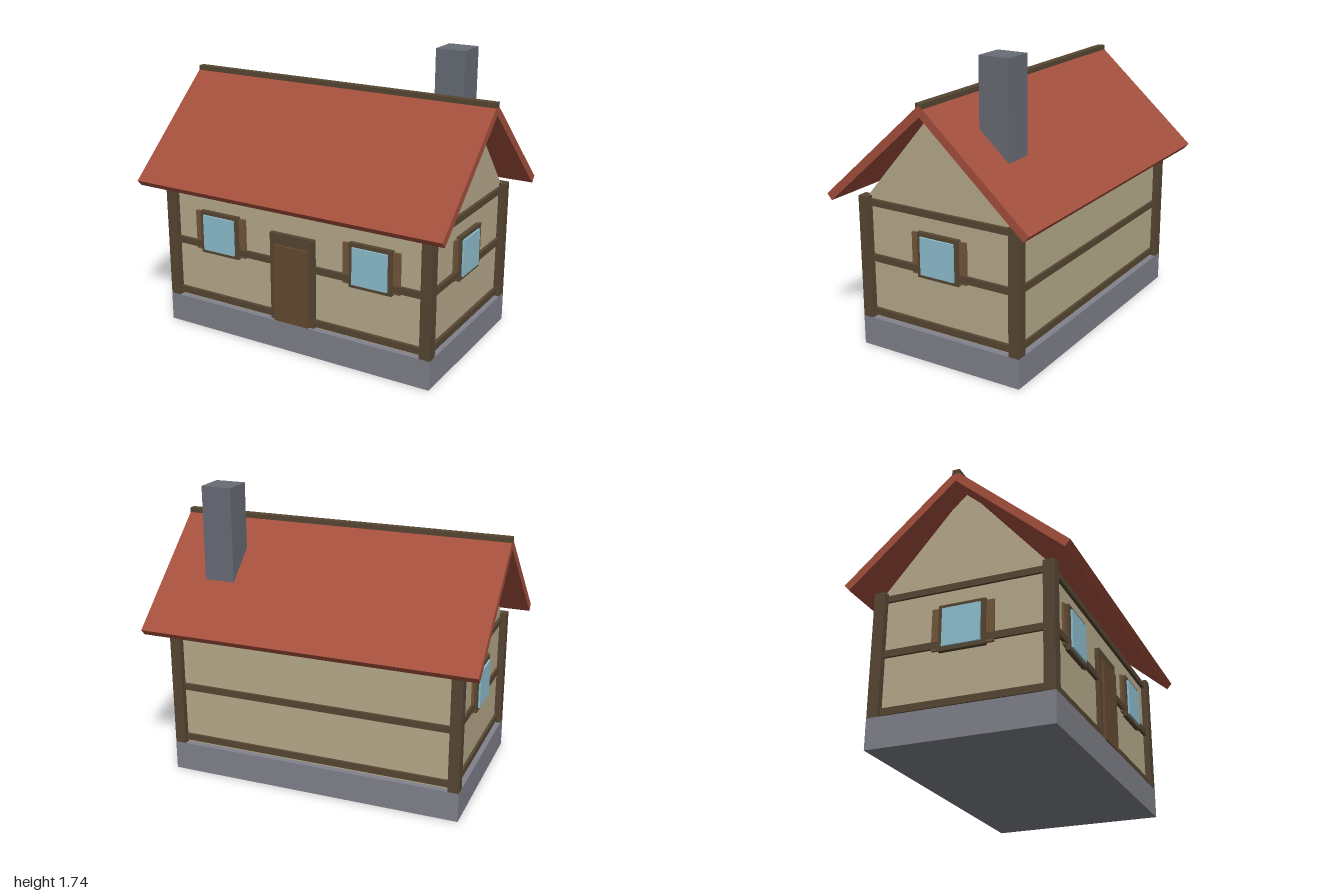
import * as THREE from 'three';

const mat = (color) => new THREE.MeshStandardMaterial({ color, flatShading: true });

export function createModel() {
  const house = new THREE.Group();
  house.name = 'cottage';
  const stone = mat(0x80818b), plaster = mat(0xb8ab8c), timber = mat(0x574733);
  const roofTile = mat(0xa5503d), glass = mat(0x8fc0d0), shutterWood = mat(0x73573a);
  const doorWood = mat(0x654a31), brick = mat(0x686c75);

  // Box given by its lower and upper limits on each axis
  const box = (name, material, [x0, x1], [y0, y1], [z0, z1], parent = house) => {
    const mesh = new THREE.Mesh(new THREE.BoxGeometry(x1 - x0, y1 - y0, z1 - z0), material);
    mesh.position.set((x0 + x1) / 2, (y0 + y1) / 2, (z0 + z1) / 2);
    mesh.name = name;
    parent.add(mesh);
    return mesh;
  };

  // Outline in the z-y plane, extruded along x and centred on xMid
  const extrudeX = (name, material, points, length, xMid) => {
    const shape = new THREE.Shape(points.map(([z, y]) => new THREE.Vector2(-z, y)));
    const geo = new THREE.ExtrudeGeometry(shape, { depth: length, bevelEnabled: false });
    geo.translate(0, 0, -length / 2).rotateY(Math.PI / 2);
    const mesh = new THREE.Mesh(geo, material);
    mesh.position.x = xMid;
    mesh.name = name;
    house.add(mesh);
  };

  const WX = 0.85, WZ = 0.487; // wall faces
  box('foundation', stone, [-0.89, 0.89], [0, 0.175], [-0.525, 0.525]);
  box('walls', plaster, [-WX, WX], [0.175, 0.9], [-WZ, WZ]);

  // Corner posts and gables
  for (const sx of [-1, 1]) {
    for (const sz of [-1, 1]) {
      const post = box('cornerPost', timber, [-0.0325, 0.0325], [0.175, 0.905], [-0.0325, 0.0325]);
      post.position.x = sx * 0.857;
      post.position.z = sz * 0.492;
    }
    extrudeX('gable', plaster, [[-WZ, 0.9], [WZ, 0.9], [0, 1.465]], 0.05, sx * (WX - 0.025));
  }

  // Horizontal beams on all four walls
  for (const [y0, y1] of [[0.19, 0.23], [0.52, 0.56], [0.85, 0.888]]) {
    for (const s of [-1, 1]) {
      box('longBeam', timber, [-0.83, 0.83], [y0, y1], [-0.015, 0.02]).position.z += s * WZ;
      box('sideBeam', timber, [-0.015, 0.02], [y0, y1], [-0.47, 0.47]).position.x += s * WX;
    }
  }

  // Window facing +z with its back on z = 0
  const addWindow = (x, z, turn) => {
    const win = new THREE.Group();
    win.name = 'window';
    box('windowFrame', timber, [-0.135, 0.135], [0.495, 0.76], [-0.01, 0.026], win);
    box('windowPane', glass, [-0.11, 0.11], [0.517, 0.737], [0, 0.037], win);
    for (const s of [-1, 1]) {
      box('shutter', shutterWood, [-0.03, 0.03], [0.507, 0.75], [-0.01, 0.014], win).position.x = s * 0.149;
    }
    win.position.set(x, 0, z);
    win.rotation.y = turn;
    house.add(win);
  };
  addWindow(-0.51, WZ, 0);
  addWindow(0.51, WZ, 0);
  addWindow(WX, 0, Math.PI / 2);
  addWindow(-WX, 0, -Math.PI / 2);

  // Door
  box('doorFrame', timber, [-0.147, 0.147], [0.18, 0.72], [WZ - 0.01, 0.514]);
  box('door', doorWood, [-0.115, 0.115], [0.178, 0.652], [WZ, 0.529]);

  // Roof slabs meeting at the ridge, eaves cut square
  extrudeX('roof', roofTile, [
    [0, 1.505], [0.652, 0.925], [0.621, 0.89], [0, 1.442], [-0.621, 0.89], [-0.652, 0.925],
  ], 2, 0);
  box('ridgeBeam', timber, [-1, 1], [1.485, 1.514], [-0.022, 0.022]);

  box('chimney', brick, [0.54, 0.722], [0.95, 1.735], [-0.362, -0.18]);
  return house;
}
